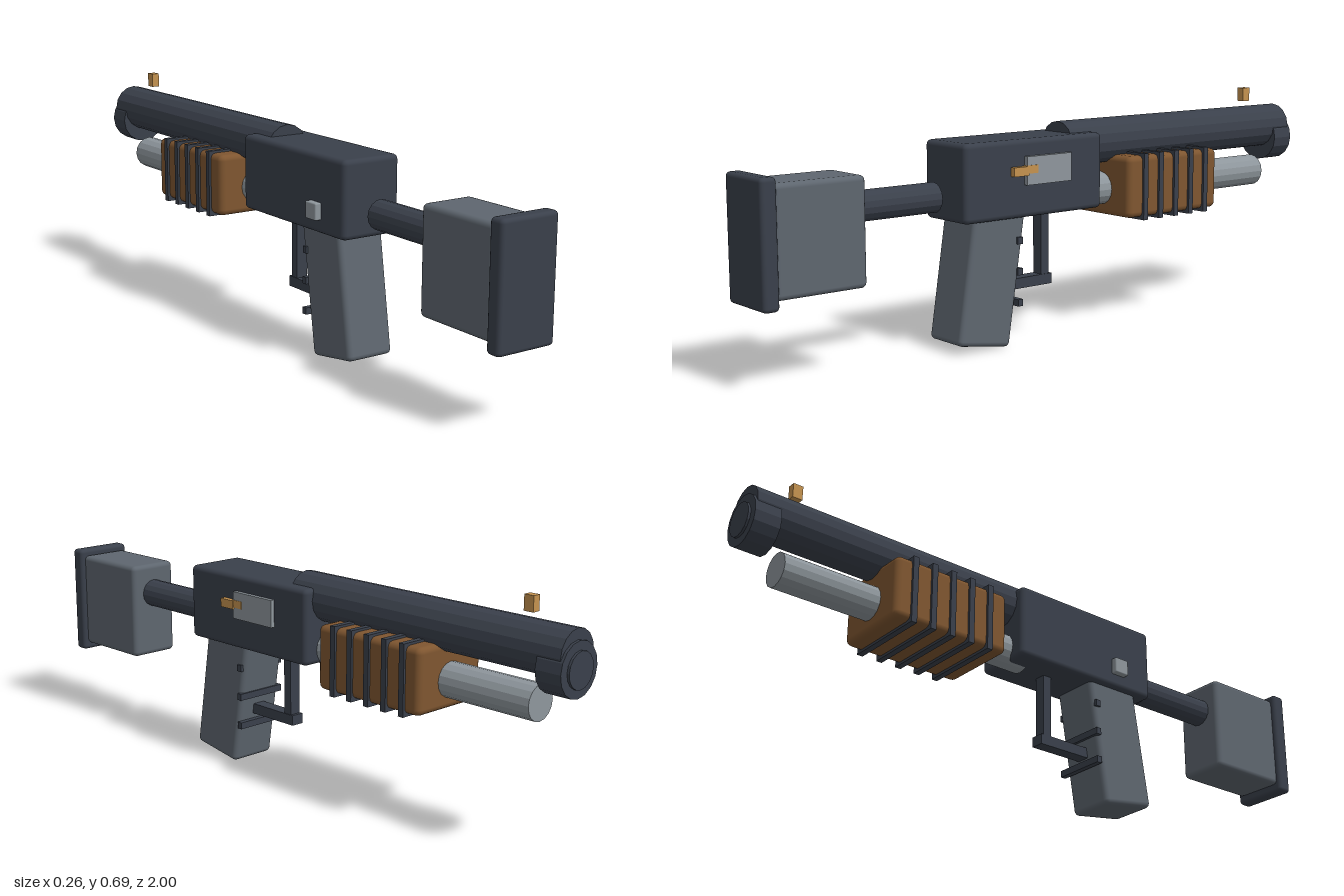
import * as THREE from 'three';
import { RoundedBoxGeometry } from 'three/addons/geometries/RoundedBoxGeometry.js';

const paint = (name, color) => {
  const m = new THREE.MeshStandardMaterial({ color });
  m.name = name;
  return m;
};

export function createModel() {
  const group = new THREE.Group();
  const dark = paint('dark steel', 0x3a404b);
  const grey = paint('grey polymer', 0x5e666f);
  const silver = paint('bare metal', 0x8e969c);
  const wood = paint('wood', 0x7f5630);
  const brass = paint('brass', 0xc4924f);

  const add = (name, geometry, material, x, y, z) => {
    const mesh = new THREE.Mesh(geometry, material);
    mesh.name = name;
    mesh.position.set(x, y, z);
    group.add(mesh);
    return mesh;
  };

  // Box given by its extents on each axis; bevel > 0 rounds the edges
  const block = (name, material, [x0, x1], [y0, y1], [z0, z1], bevel = 0) => {
    const size = [x1 - x0, y1 - y0, z1 - z0];
    const geometry = bevel
      ? new RoundedBoxGeometry(...size, 2, bevel)
      : new THREE.BoxGeometry(...size);
    return add(name, geometry, material, (x0 + x1) / 2, (y0 + y1) / 2, (z0 + z1) / 2);
  };

  // Faceted cylinder lying along z
  const rod = (name, material, radius, y, z0, z1, sides = 16) => {
    const geometry = new THREE.CylinderGeometry(radius, radius, z1 - z0, sides)
      .rotateX(Math.PI / 2).toNonIndexed();
    geometry.computeVertexNormals();
    return add(name, geometry, material, 0, y, (z0 + z1) / 2);
  };

  // Shoulder stock
  block('buttPad', dark, [-0.092, 0.092], [0.222, 0.563], [0.953, 1], 0.012);
  block('stock', grey, [-0.08, 0.08], [0.245, 0.544], [0.685, 0.958], 0.015);
  rod('stockTube', dark, 0.043, 0.45, 0.415, 0.69);

  // Receiver and its side fittings
  block('receiver', dark, [-0.094, 0.094], [0.378, 0.601], [-0.127, 0.376], 0.015);
  block('ejectionPort', silver, [0.08, 0.107], [0.472, 0.553], [0.003, 0.168]);
  block('boltHandleShaft', brass, [0.09, 0.109], [0.505, 0.528], [0.13, 0.17]);
  block('boltHandleKnob', brass, [0.096, 0.112], [0.5, 0.526], [0.165, 0.218]);
  block('safetyButton', silver, [-0.113, -0.08], [0.418, 0.467], [0.22, 0.27], 0.004);

  // Barrel, muzzle and magazine tube
  rod('barrel', dark, 0.068, 0.565, -0.985, -0.035);
  rod('muzzleRing', dark, 0.075, 0.528, -0.993, -0.915);
  rod('muzzleBore', dark, 0.05, 0.528, -1, -0.95);
  rod('magazineTube', silver, 0.05, 0.42, -0.882, -0.06);
  block('frontSight', brass, [-0.012, 0.012], [0.65, 0.693], [-0.856, -0.826]);

  // Pump handle with ribs
  block('pump', wood, [-0.125, 0.125], [0.338, 0.524], [-0.585, -0.208], 0.018);
  for (let i = 0; i < 5; i++) {
    const z = -0.272 - i * 0.064;
    block('pumpRib', dark, [-0.132, 0.132], [0.33, 0.531], [z - 0.009, z + 0.009]);
  }

  // Raked grip with cross bars
  const grip = add('grip', new RoundedBoxGeometry(0.15, 0.4, 0.18, 2, 0.015), grey, 0, 0.217, 0.264);
  grip.rotation.x = -0.155;
  for (const y of [0.312, 0.222, 0.132]) {
    block('gripBar', dark, [-0.082, 0.082], [y - 0.01, y + 0.01], [0.165, 0.182]);
  }

  // Trigger guard
  block('triggerGuardPost', dark, [-0.018, 0.018], [0.16, 0.39], [0.015, 0.043]);
  block('triggerGuardBar', dark, [-0.02, 0.02], [0.157, 0.188], [0.005, 0.185]);

  return group;
}
